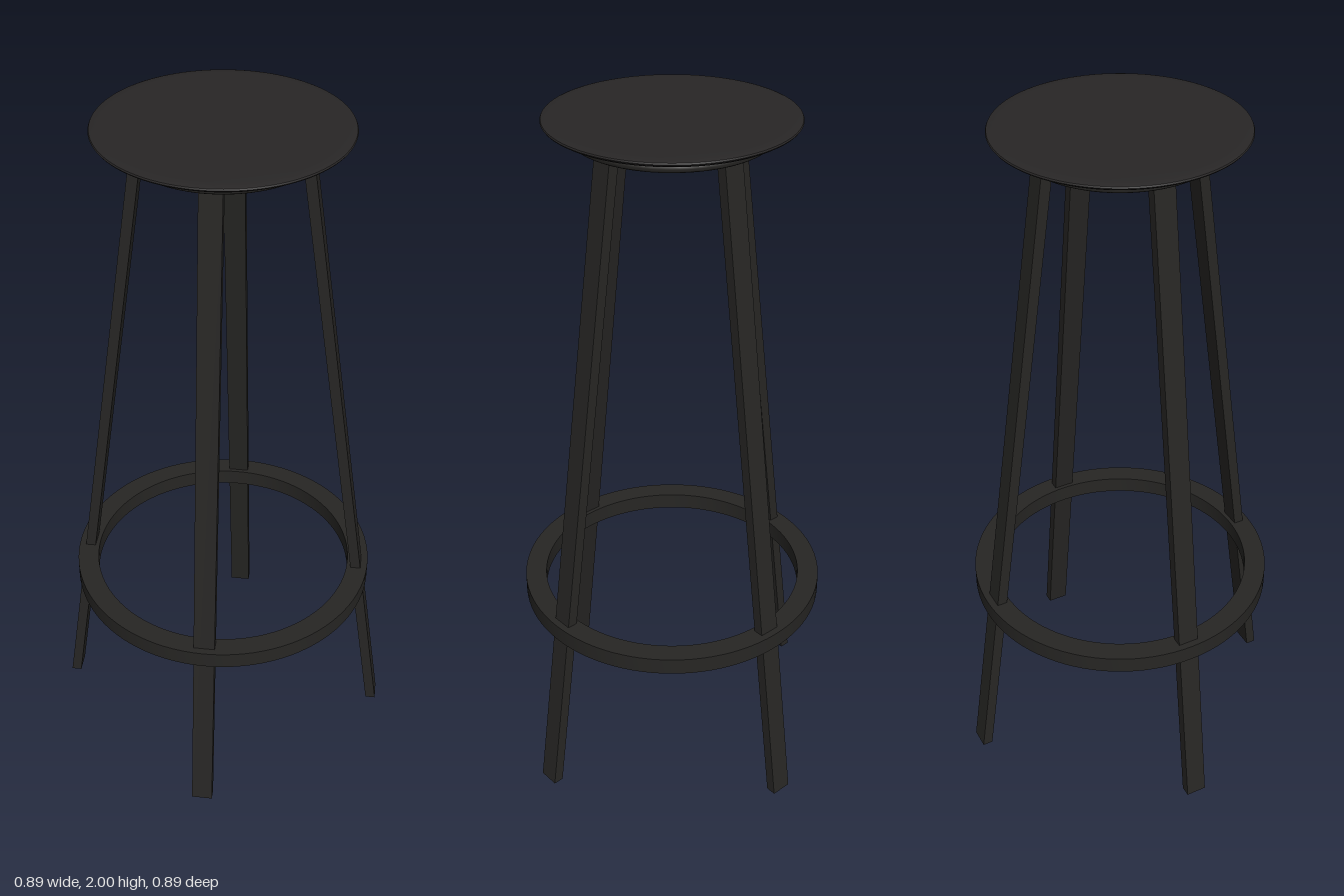
import * as THREE from 'three';
import { toCreasedNormals } from 'three/addons/utils/BufferGeometryUtils.js';

const seatMat = new THREE.MeshStandardMaterial({ color: 0x282626 });
const frameMat = new THREE.MeshStandardMaterial({ color: 0x272624 });

// Revolve a profile of [radius, y] pairs, keeping sharp corners sharp
function lathe(name, profile, material) {
  const points = profile.map(([r, y]) => new THREE.Vector2(r, y));
  const mesh = new THREE.Mesh(toCreasedNormals(new THREE.LatheGeometry(points, 96), 0.6), material);
  mesh.name = name;
  return mesh;
}

// Flat bar leaning inward, with both ends cut level
function makeLeg(angle) {
  const height = 1.955, bottomR = 0.492, topR = 0.216;
  const geo = new THREE.BoxGeometry(0.03, height, 0.061);
  geo.translate(0, height / 2, 0);
  const pos = geo.attributes.position;
  for (let i = 0; i < pos.count; i++) {
    pos.setX(i, pos.getX(i) + THREE.MathUtils.lerp(bottomR, topR, pos.getY(i) / height));
  }
  geo.computeVertexNormals();
  const leg = new THREE.Mesh(geo, frameMat);
  leg.rotation.y = angle;
  return leg;
}

export function createModel() {
  const stool = new THREE.Group();
  stool.name = 'barStool';

  // Round seat with a thin rim and a bevelled underside
  stool.add(lathe('seat', [
    [0, 1.965], [0.265, 1.965], [0.3, 1.974], [0.325, 1.983], [0.335, 1.989],
    [0.338, 1.993], [0.336, 1.997], [0.33, 1.999], [0.31, 2], [0, 2],
  ], seatMat));

  // Mounting disc with a rounded edge below the seat
  const disc = [[0, 1.944]];
  for (let i = 0; i <= 8; i++) {
    const a = -Math.PI / 2 + (i / 8) * Math.PI;
    disc.push([0.26 + 0.012 * Math.cos(a), 1.956 + 0.012 * Math.sin(a)]);
  }
  disc.push([0, 1.968]);
  stool.add(lathe('mountingDisc', disc, frameMat));

  // Four splayed legs on the diagonals
  const names = ['backLeftLeg', 'backRightLeg', 'frontRightLeg', 'frontLeftLeg'];
  names.forEach((name, i) => {
    const leg = makeLeg(Math.PI / 4 + i * Math.PI / 2);
    leg.name = name;
    stool.add(leg);
  });

  // Footrest ring of rectangular section
  stool.add(lathe('footrestRing', [
    [0.385, 0.52], [0.447, 0.52], [0.447, 0.57], [0.385, 0.57], [0.385, 0.52],
  ], frameMat));

  return stool;
}
